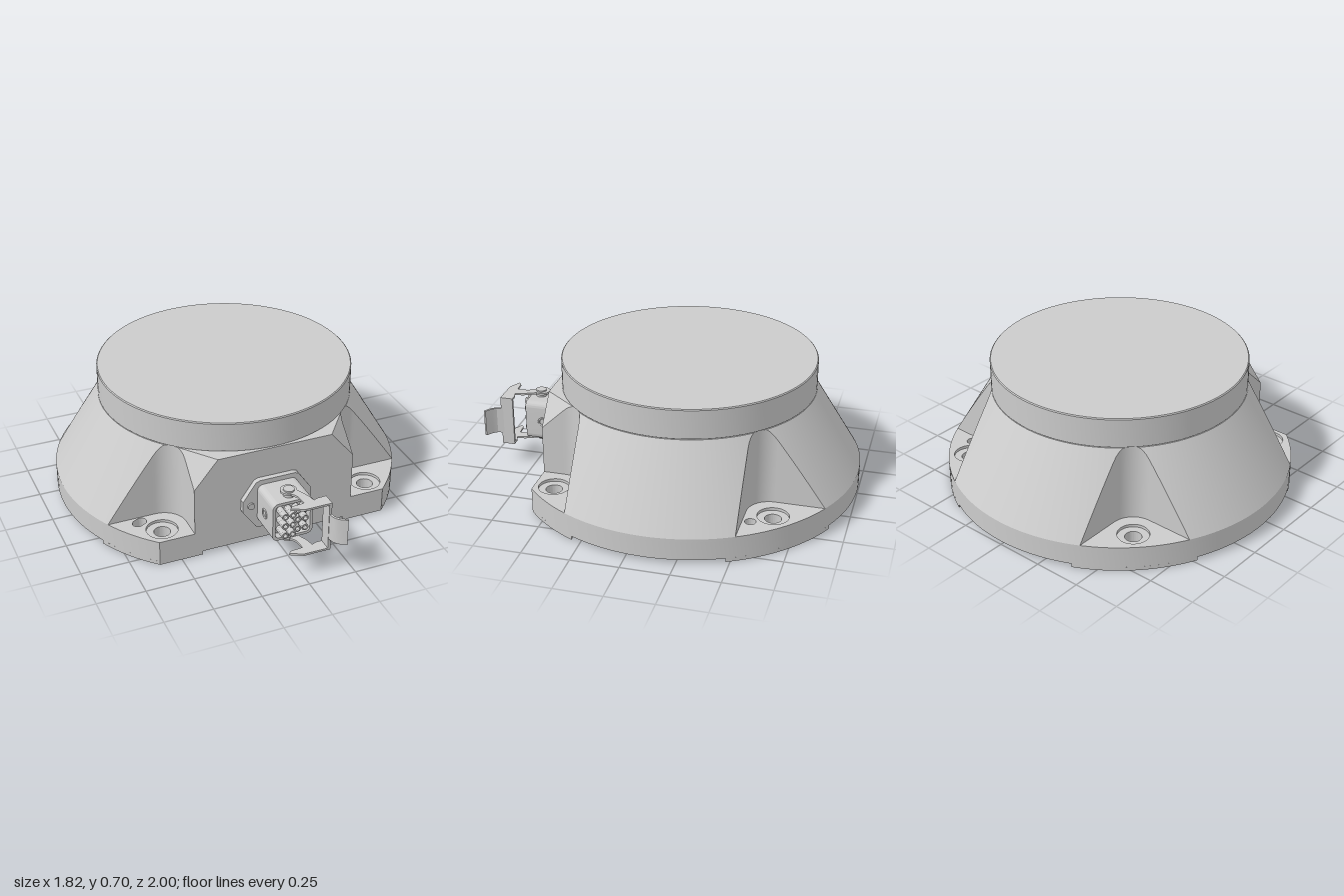
import * as THREE from 'three';
import { toCreasedNormals } from 'three/addons/utils/BufferGeometryUtils.js';

const CZ = -0.09;            // z of the body axis
const R = 0.91, RT = 0.665;  // flange and neck radius
const FLAT = 0.67;           // front flat, measured from the axis
const Y0 = 0.135, Y1 = 0.54; // bottom and top of the cone
const grey = new THREE.MeshStandardMaterial({ color: 0xcccccc, side: THREE.DoubleSide });

function add(parent, name, geo, x = 0, y = 0, z = 0) {
  const m = new THREE.Mesh(geo, grey);
  m.name = name;
  m.position.set(x, y, z);
  parent.add(m);
  return m;
}

// Plan shape (drawn with z negated) extruded from y0 to y1
function slab(shape, y0, y1) {
  const g = new THREE.ExtrudeGeometry(shape, { depth: y1 - y0, bevelEnabled: false, curveSegments: 48 });
  g.rotateX(-Math.PI / 2).translate(0, y0, 0);
  return toCreasedNormals(g, 0.5);
}

const circle = (x, z, r) => new THREE.Path().absarc(x, -z, r, 0, Math.PI * 2, false);

function slot(x, z, r, half, tilt) {
  const p = new THREE.Path(), dx = half * Math.cos(tilt), dy = half * Math.sin(tilt);
  p.absarc(x + dx, -z + dy, r, tilt - Math.PI / 2, tilt + Math.PI / 2, false);
  p.absarc(x - dx, -z - dy, r, tilt + Math.PI / 2, tilt + Math.PI * 1.5, false);
  p.closePath();
  return p;
}

const corners = [[1, 1], [-1, 1], [1, -1], [-1, -1]];
const boltAt = (sx, sz) => [sx * 0.565, CZ + sz * 0.567];

function cornerHoles(sx, sz, r) {
  const holes = [circle(...boltAt(sx, sz), r)];
  if (sx > 0 && sz < 0) holes.push(circle(0.645, -0.56, 0.028));
  if (sx < 0 && sz > 0) holes.push(slot(-0.65, 0.38, 0.028, 0.012, 0.5));
  return holes;
}

// Round flange cut flat at the front
function flangeShape(holeR) {
  const a = Math.asin(FLAT / R);
  const s = new THREE.Shape().absarc(0, -CZ, R, -a, Math.PI + a, false);
  s.closePath();
  for (const [sx, sz] of corners) s.holes.push(...cornerHoles(sx, sz, holeR));
  return s;
}

// Foot pad with a rounded inner corner, following the flange rim outside
function padShape(sx, sz) {
  const a = 0.39, f = 0.16, e = Math.sqrt(R * R - a * a), pts = [];
  for (let i = 0; i <= 10; i++) {
    const t = (i / 10) * Math.PI / 2;
    pts.push([a + f - f * Math.cos(t), a + f - f * Math.sin(t)]);
  }
  const t0 = Math.atan2(a, e), t1 = sz > 0 ? Math.asin(FLAT / R) : Math.atan2(e, a);
  for (let i = 0; i <= 16; i++) {
    const t = t0 + (t1 - t0) * i / 16;
    pts.push([R * Math.cos(t), R * Math.sin(t)]);
  }
  if (sz > 0) pts.push([a, FLAT]);
  const s = new THREE.Shape(pts.map(([x, z]) => new THREE.Vector2(sx * x, -(CZ + sz * z))));
  s.holes.push(...cornerHoles(sx, sz, 0.042));
  return s;
}

// Distance from the axis to the pocket wall along a direction
function pocketWall(c, s) {
  const a = 0.43, f = 0.12, m = a + f;
  const t = Math.max(a / Math.max(c, 1e-6), a / Math.max(s, 1e-6));
  if (Math.max(t * c, t * s) >= m) return t;
  const b = m * (c + s);
  return b - Math.sqrt(Math.max(0, b * b - 2 * m * m + f * f));
}

// Cone with four upright corner pockets and a flat, chamfered front
function coneGeometry() {
  const angles = [];
  for (let i = 0; i < 360; i++) angles.push(i * Math.PI / 180);
  for (const [x, z] of [[0.43, 0.802], [0.802, 0.43], [0.43, 0.55], [0.55, 0.43], [0.43, FLAT], [0.305, FLAT]]) {
    const t = Math.atan2(z, x);
    angles.push(t, Math.PI - t, Math.PI + t, 2 * Math.PI - t);
  }
  angles.sort((p, q) => p - q);
  const cols = angles.map(t => {
    const c = Math.abs(Math.cos(t)), s = Math.abs(Math.sin(t)), front = Math.sin(t) > 0;
    const wall = Math.min(R, pocketWall(c, s), front ? FLAT / Math.max(s, 1e-6) : R);
    let y = Y0 + (Y1 - Y0) * (R - wall) / (R - RT), top = RT;
    if (front && wall * c <= 0.47 && wall * s > 0.4) { // chamfer beside the front flat
      y = Math.max(y, 0.39 - 0.15 * ((wall * c - 0.43) / 0.125 + (wall * s - FLAT) / 0.16));
      top = Math.max(top, 6.6275 / (c / 0.125 + s / 0.16));
    }
    y = Math.min(Y1, Math.max(Y0, y));
    const at = (r, h) => new THREE.Vector3(r * Math.cos(t), h, CZ + r * Math.sin(t));
    return [at(wall, Y0), at(wall, y), at(Math.min(top, wall), Y1), at(0, Y1)];
  });
  const pos = [];
  const tri = (a, b, c) => {
    const n = b.clone().sub(a).cross(c.clone().sub(a));
    if (n.length() > 1e-9) for (const v of [a, b, c]) pos.push(v.x, v.y, v.z);
  };
  cols.forEach((p, i) => {
    const q = cols[(i + 1) % cols.length];
    for (let k = 0; k < 3; k++) {
      tri(p[k], p[k + 1], q[k]);
      tri(q[k], p[k + 1], q[k + 1]);
    }
  });
  const g = new THREE.BufferGeometry();
  g.setAttribute('position', new THREE.Float32BufferAttribute(pos, 3));
  return toCreasedNormals(g, 0.4);
}

function roundedRect(w, h, r, P = THREE.Shape) {
  const s = new P(), x = w / 2 - r, y = h / 2 - r, q = Math.PI / 2;
  s.absarc(x, y, r, 0, q, false);
  s.absarc(-x, y, r, q, 2 * q, false);
  s.absarc(-x, -y, r, 2 * q, 3 * q, false);
  s.absarc(x, -y, r, 3 * q, 4 * q, false);
  s.closePath();
  return s;
}

const forward = (shape, depth) => toCreasedNormals(
  new THREE.ExtrudeGeometry(shape, { depth, bevelEnabled: false, curveSegments: 8 }), 0.6);
const rod = (r, len, axis) => {
  const g = new THREE.CylinderGeometry(r, r, len, 20);
  if (axis === 'z') g.rotateX(Math.PI / 2);
  if (axis === 'x') g.rotateZ(Math.PI / 2);
  return g;
};

function createConnector() {
  const g = new THREE.Group();
  g.name = 'connector';
  const cy = 0.245;
  // Six-sided mounting plate with two screws
  const plate = new THREE.Shape([[0.185, 0.03], [0.115, 0.13], [0.095, 0.138], [-0.095, 0.138], [-0.115, 0.13], [-0.185, 0.03],
    [-0.185, -0.03], [-0.115, -0.13], [-0.095, -0.138], [0.095, -0.138], [0.115, -0.13], [0.185, -0.03]]
    .map(p => new THREE.Vector2(...p)));
  add(g, 'mountingPlate', forward(plate, 0.028), 0, cy, 0.58);
  for (const s of [-1, 1]) add(g, 'plateScrew', rod(0.018, 0.012, 'z'), s * 0.142, cy, 0.612);
  // Hollow housing
  const shell = roundedRect(0.215, 0.215, 0.03);
  shell.holes.push(roundedRect(0.185, 0.185, 0.02, THREE.Path));
  add(g, 'housing', forward(shell, 0.19), 0, cy + 0.005, 0.605);
  add(g, 'insert', forward(roundedRect(0.165, 0.165, 0.015), 0.165), 0, cy + 0.005, 0.605);
  for (const s of [-1, 1]) {
    add(g, 'sideScrew', new THREE.TorusGeometry(0.022, 0.005, 8, 24).rotateY(Math.PI / 2), s * 0.108, cy + 0.005, 0.7);
    add(g, 'pivotStud', rod(0.028, 0.05, 'y'), 0, cy + 0.003 + s * 0.122, 0.74);
  }
  // Contact sleeves in three rows
  for (let i = 0; i < 4; i++) for (let j = 0; j < 3; j++) {
    const end = i < 2 ? 0.84 : 0.81, x = -0.06 + i * 0.04, y = cy + 0.005 + (j - 1) * 0.055;
    const sleeve = roundedRect(0.036, 0.036, 0.0179);
    sleeve.holes.push(roundedRect(0.022, 0.022, 0.0109, THREE.Path));
    add(g, 'contactSleeve', forward(sleeve, end - 0.765), x, y, 0.765);
  }
  // Locking lever: two hooked arms, a crossbar and a finger lip
  const arm = new THREE.Shape();
  arm.absarc(0, -0.735, 0.042, -0.5, Math.PI * 1.45, false);
  arm.splineThru([[0.015, -0.81], [0.02, -0.87]].map(p => new THREE.Vector2(...p)));
  for (const p of [[-0.045, -0.875], [-0.06, -0.89], [-0.03, -0.905], [0.0, -0.922], [0.14, -0.922], [0.145, -0.855],
    [0.1, -0.855], [0.075, -0.865], [0.065, -0.82]]) arm.lineTo(...p);
  arm.closePath();
  for (const y of [0.114, 0.376]) add(g, 'leverArm', slab(arm, y, y + 0.011));
  add(g, 'leverCrossbar', new THREE.BoxGeometry(0.014, 0.273, 0.068), 0.138, 0.2505, 0.888);
  const lip = new THREE.Shape([[0.131, -0.915], [0.145, -0.91], [0.15, -0.945], [0.165, -0.965], [0.2, -0.99], [0.196, -1.0],
    [0.155, -0.975], [0.14, -0.95]].map(p => new THREE.Vector2(...p)));
  add(g, 'leverLip', slab(lip, 0.178, 0.322));
  return g;
}

export function createModel() {
  const model = new THREE.Group();
  model.name = 'mountingBase';
  // Flange in two layers, the upper one opening into counterbores
  add(model, 'flangeLower', slab(flangeShape(0.042), 0.02, 0.12));
  add(model, 'flangeUpper', slab(flangeShape(0.08), 0.12, Y0));
  for (const [sx, sz] of corners) add(model, 'footPad', slab(padShape(sx, sz), 0, 0.02));
  add(model, 'coneBody', coneGeometry());
  // Round neck with a fine bevel at the top and a shadow groove below
  const profile = [[0, 0.53], [0.658, 0.53], [0.658, 0.544], [RT, 0.544], [RT, 0.695], [0.66, 0.7], [0, 0.7]]
    .map(p => new THREE.Vector2(...p));
  add(model, 'neck', toCreasedNormals(new THREE.LatheGeometry(profile, 96), 0.4), 0, 0, CZ);
  model.add(createConnector());
  return model;
}
